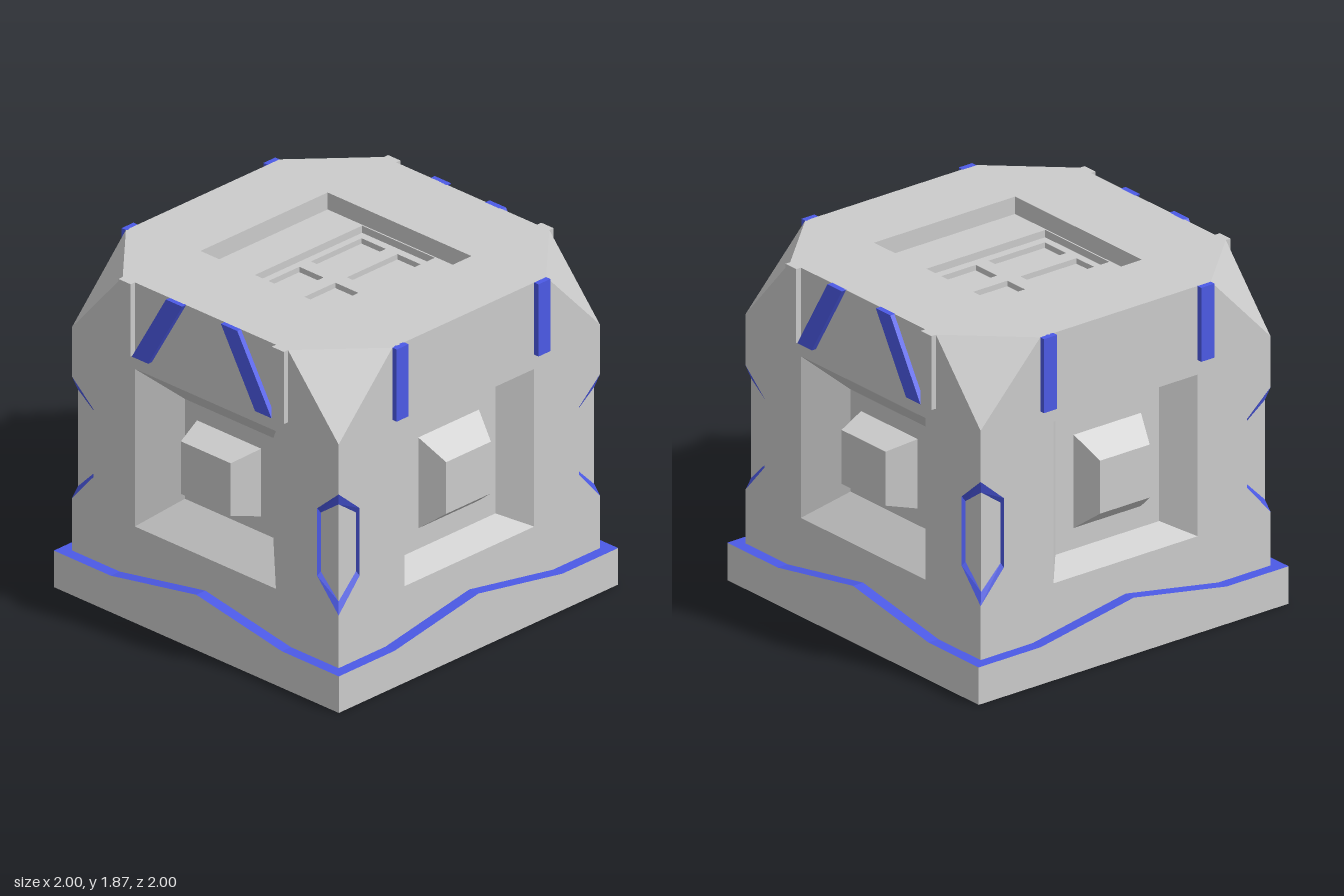
import * as THREE from 'three';

const GREY = new THREE.MeshStandardMaterial({ color: 0xcccccc, flatShading: true });
const BLUE = new THREE.MeshStandardMaterial({ color: 0x4c5ae6, flatShading: true });
const H = 0.935, TOP = 1.865, CUT_Y = 1.46; // body half width, height, start of corner cuts
const CUT_X = 0.55, CUT_Z = 0.58;           // where the corner cuts reach the top edges

function mesh(name, geometry, material = GREY) {
  const m = new THREE.Mesh(geometry, material);
  m.name = name;
  return m;
}

// Flat convex polygons, corners counter-clockwise from outside
function polygons(faces) {
  const pos = [];
  for (const f of faces)
    for (let i = 1; i < f.length - 1; i++) pos.push(...f[0], ...f[i], ...f[i + 1]);
  const g = new THREE.BufferGeometry();
  g.setAttribute('position', new THREE.Float32BufferAttribute(pos, 3));
  g.computeVertexNormals();
  return g;
}

// Quads joining two closed loops of points
const band = (a, b) => a.map((p, i) => {
  const j = (i + 1) % a.length;
  return [p, a[j], b[j], b[i]];
});

// Rectangular ring: x0, x1, y0, y1 at depth z
const rect = (x0, x1, y0, y1, z) => [[x0, y0, z], [x1, y0, z], [x1, y1, z], [x0, y1, z]];

// Stepped rings joined in order, the last one optionally closed
function stepped(rings, cap = true) {
  const faces = [];
  for (let i = 0; i < rings.length - 1; i++) faces.push(...band(rings[i], rings[i + 1]));
  if (cap) faces.push(rings[rings.length - 1]);
  return polygons(faces);
}

const shapeOf = (pts) => new THREE.Shape(pts.map(([x, y]) => new THREE.Vector2(x, y)));

function panel(outline, holes) {
  const s = shapeOf(outline);
  for (const h of holes) s.holes.push(new THREE.Path(h.map(([x, y]) => new THREE.Vector2(x, y))));
  return new THREE.ShapeGeometry(s);
}

function bar(pts, depth) {
  const g = new THREE.ExtrudeGeometry(shapeOf(pts), { depth, bevelEnabled: false });
  return g.translate(0, 0, H - 0.005);
}

// One side of the body, facing +z
function side(diagonal) {
  const g = new THREE.Group();
  g.name = diagonal ? 'flankSide' : 'frontBackSide';
  const half = [[H, 0.02], [H, 0.5], [0.785, 0.67], [0.785, 1.05], [H, 1.18], [H, CUT_Y],
    [diagonal ? CUT_Z : CUT_X, TOP]];
  const outline = [...half, ...half.map(([x, y]) => [-x, y]).reverse()];
  // recess mouth, recess floor, block base, block face
  const rings = diagonal
    ? [rect(-0.495, 0.495, 0.495, 1.38, H), rect(-0.31, 0.31, 0.655, 1.215, H - 0.17),
      rect(-0.225, 0.225, 0.745, 1.125, H - 0.17), rect(-0.175, 0.175, 0.79, 1.085, H - 0.003)]
    : [rect(-0.465, 0.465, 0.495, 1.38, H), rect(-0.335, 0.335, 0.565, 1.305, H - 0.145),
      rect(-0.217, 0.217, 0.68, 1.19, H - 0.145), rect(-0.16, 0.16, 0.79, 1.08, H - 0.005)];
  g.add(mesh('wall', panel(outline, [rings[0]]).translate(0, 0, H)));
  g.add(mesh('recessWithBlock', stepped(rings)));

  for (const s of [-1, 1]) {
    const upright = (a, b) => [[s * a, CUT_Y], [s * b, CUT_Y], [s * b, TOP], [s * a, TOP]];
    if (diagonal) {
      g.add(mesh('post', bar(upright(0.495, 0.58), 0.035)));
      const slant = [[0.375, CUT_Y], [0.49, CUT_Y], [0.25, TOP], [0.135, TOP]];
      g.add(mesh('diagonalStripe', bar(slant.map(([x, y]) => [s * x, y]), 0.032), BLUE));
    } else {
      g.add(mesh('uprightStripe', bar(upright(0.465, 0.55), 0.035), BLUE));
    }
  }
  return g;
}

// Six-sided inset wrapped around a vertical edge
function edgeInset() {
  const g = new THREE.Group();
  g.name = 'edgeInset';
  const loop = (e, x, top, high, low, bottom) => [[e, top, e], [x, high, e], [x, low, e],
    [e, bottom, e], [e, low, x], [e, high, x]];
  const outer = loop(H, 0.785, 1.18, 1.05, 0.67, 0.5);
  const n = loop(0.915, 0.79, 1.11, 1.02, 0.69, 0.565);
  g.add(mesh('insetRim', polygons(band(outer, n)), BLUE));
  g.add(mesh('insetPanels', polygons([[n[0], n[1], n[2], n[3]], [n[0], n[3], n[4], n[5]]])));
  return g;
}

// One side of the base with its raised middle, facing +z
function baseSide() {
  const g = new THREE.Group();
  g.name = 'baseSide';
  const edge = [[-1, 0.205], [-0.6, 0.205], [0, 0.31], [0.6, 0.205], [1, 0.205]];
  const inner = (x) => (Math.abs(x) === 1 ? x * 0.93 : x);
  const walls = [], tops = [];
  for (let i = 0; i < edge.length - 1; i++) {
    const [[x0, y0], [x1, y1]] = [edge[i], edge[i + 1]];
    walls.push([[x0, 0, 1], [x1, 0, 1], [x1, y1, 1], [x0, y0, 1]]);
    tops.push([[x0, y0, 1], [x1, y1, 1], [inner(x1), y1, 0.93], [inner(x0), y0, 0.93]]);
  }
  g.add(mesh('baseWall', polygons(walls)), mesh('baseTrim', polygons(tops), BLUE));
  return g;
}

// Roof with a stepped hatch and four pockets, drawn facing +z then laid flat
function roof() {
  const g = new THREE.Group();
  g.name = 'roof';
  const octagon = [[H, -CUT_Z], [H, CUT_Z], [CUT_X, H], [-CUT_X, H],
    [-H, CUT_Z], [-H, -CUT_Z], [-CUT_X, -H], [CUT_X, -H]];
  const sq = (x, y, z) => rect(-x, x, -y, y, z);
  const floor = -0.135;
  const rings = [sq(0.455, 0.505, 0), sq(0.455, 0.505, -0.095), sq(0.447, 0.255, -0.095), sq(0.447, 0.255, floor)];
  g.add(mesh('roofPlate', panel(octagon, [rings[0]])));
  g.add(mesh('hatchSteps', stepped(rings, false)));
  const pockets = [];
  for (const x of [-0.405, 0.04])
    for (const y of [-0.207, 0.045]) {
      const mouth = rect(x, x + 0.362, y, y + 0.17, floor);
      pockets.push(mouth);
      g.add(mesh('pocket', stepped([mouth, mouth.map(([a, b]) => [a, b, floor - 0.03])])));
    }
  g.add(mesh('hatchFloor', panel(rings[3], pockets).translate(0, 0, floor)));
  g.rotation.x = -Math.PI / 2;
  g.position.y = TOP;
  return g;
}

export function createModel() {
  const model = new THREE.Group();
  model.name = 'crate';
  for (let k = 0; k < 4; k++)
    for (const part of [side(k % 2 === 1), edgeInset(), baseSide()]) {
      part.rotation.y = k * Math.PI / 2;
      model.add(part);
    }

  // Cut upper corners
  const cuts = [];
  for (const sx of [-1, 1])
    for (const sz of [-1, 1]) {
      const tri = [[sx * CUT_X, TOP, sz * H], [sx * H, CUT_Y, sz * H], [sx * H, TOP, sz * CUT_Z]];
      cuts.push(sx * sz > 0 ? tri : tri.reverse());
    }
  model.add(mesh('cornerCuts', polygons(cuts)));
  model.add(roof());
  model.add(mesh('underside', new THREE.PlaneGeometry(2, 2).rotateX(Math.PI / 2)));
  return model;
}
